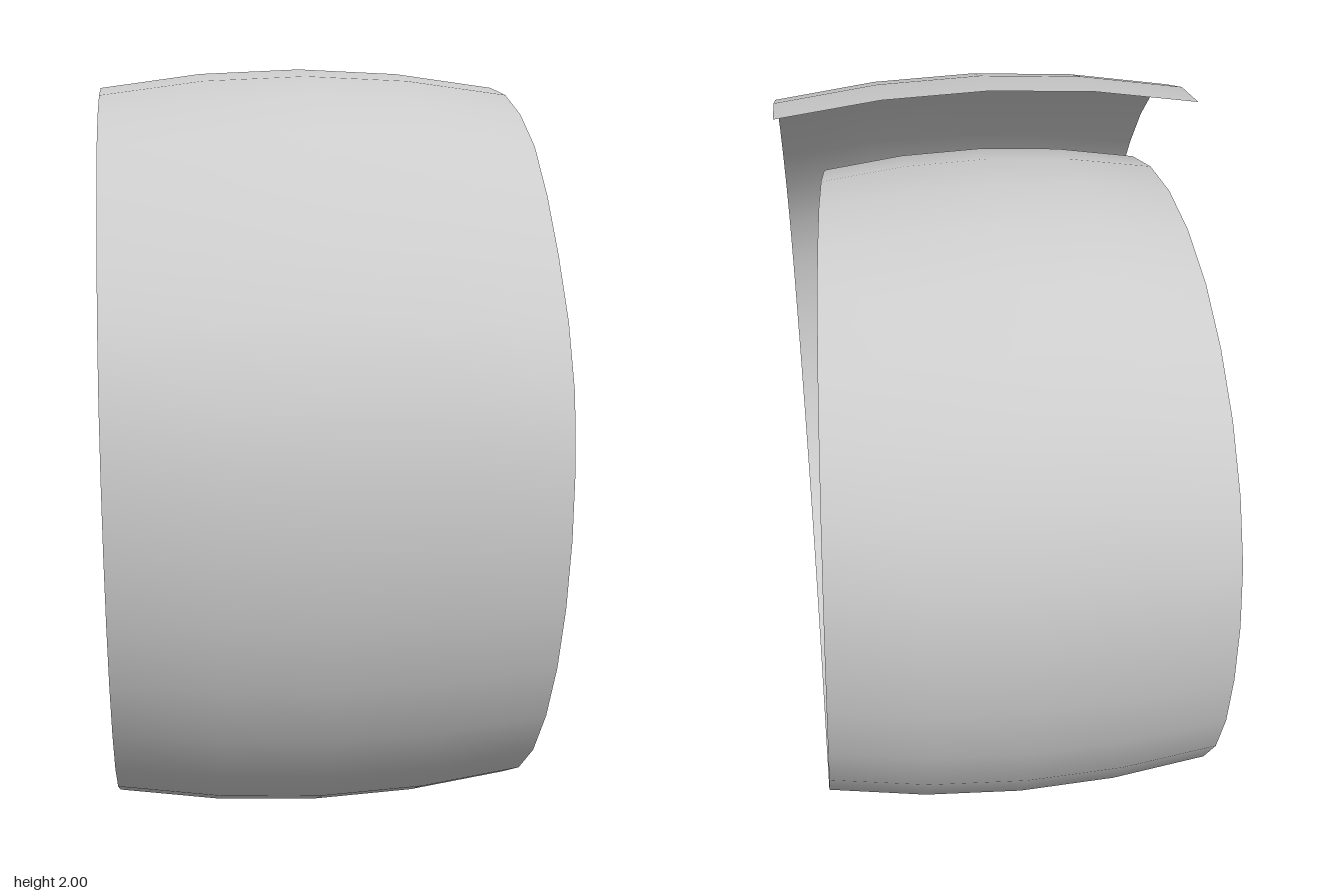
import * as THREE from 'three';

const SEGMENTS = 54;   // along the coil
const ACROSS = 4;      // across the band

// Coil centre line as [z, y], from the inner tip to the outer end
const COIL = [
  [-0.04, 1.34], [-0.19, 1.315], [-0.33, 1.23], [-0.43, 1.10], [-0.47, 0.94], [-0.455, 0.78],
  [-0.385, 0.63], [-0.27, 0.515], [-0.11, 0.435], [0.05, 0.41], [0.22, 0.44], [0.37, 0.515],
  [0.51, 0.63], [0.605, 0.77], [0.665, 0.93], [0.68, 1.10], [0.655, 1.25], [0.58, 1.42],
  [0.46, 1.575], [0.205, 1.765], [-0.16, 1.82], [-0.51, 1.725], [-0.79, 1.49], [-0.94, 1.185],
  [-0.945, 0.80], [-0.84, 0.48], [-0.60, 0.205], [-0.285, 0.04], [0.05, 0.0], [0.405, 0.075],
  [0.70, 0.275], [0.89, 0.585], [0.968, 0.97], [0.925, 1.32], [0.75, 1.60], [0.46, 1.87],
  [0.135, 1.985], [-0.025, 2.0],
];

// Half width grows quickly from a narrow tip, then levels off
const halfWidth = (t) => 0.53 - 0.47 * Math.pow(1 - t, 3.2);

function coiledBand() {
  const curve = new THREE.CatmullRomCurve3(COIL.map(([z, y]) => new THREE.Vector3(0, y, z)));
  curve.arcLengthDivisions = 1000;
  const geometry = new THREE.PlaneGeometry(2, 1, ACROSS, SEGMENTS);
  const pos = geometry.attributes.position;

  for (let i = 0; i <= SEGMENTS; i++) {
    const t = i / SEGMENTS;
    const p = curve.getPointAt(t);
    const d = curve.getTangentAt(t);
    const w = halfWidth(t);
    for (let j = 0; j <= ACROSS; j++) {
      const s = (2 * j) / ACROSS - 1;
      // the band is crowned: its edges droop towards the coil's middle
      const droop = 0.092 * w * s * s;
      pos.setXYZ(i * (ACROSS + 1) + j, w * s, p.y + d.z * -droop, p.z + d.y * droop);
    }
  }
  // keep the droop on the inner side of the coil
  const first = SEGMENTS * (ACROSS + 1);
  if (pos.getY(first) > pos.getY(first + ACROSS / 2)) {
    for (let i = 0; i <= SEGMENTS; i++) {
      const mid = i * (ACROSS + 1) + ACROSS / 2;
      for (let j = 0; j <= ACROSS; j++) {
        const k = i * (ACROSS + 1) + j;
        pos.setY(k, 2 * pos.getY(mid) - pos.getY(k));
        pos.setZ(k, 2 * pos.getZ(mid) - pos.getZ(k));
      }
    }
  }
  geometry.computeVertexNormals();
  return geometry;
}

export function createModel() {
  const group = new THREE.Group();
  group.name = 'spiralCoil';
  const material = new THREE.MeshStandardMaterial({ color: 0xcccccc, side: THREE.DoubleSide });
  const band = new THREE.Mesh(coiledBand(), material);
  band.name = 'coiledBand';
  group.add(band);
  return group;
}
